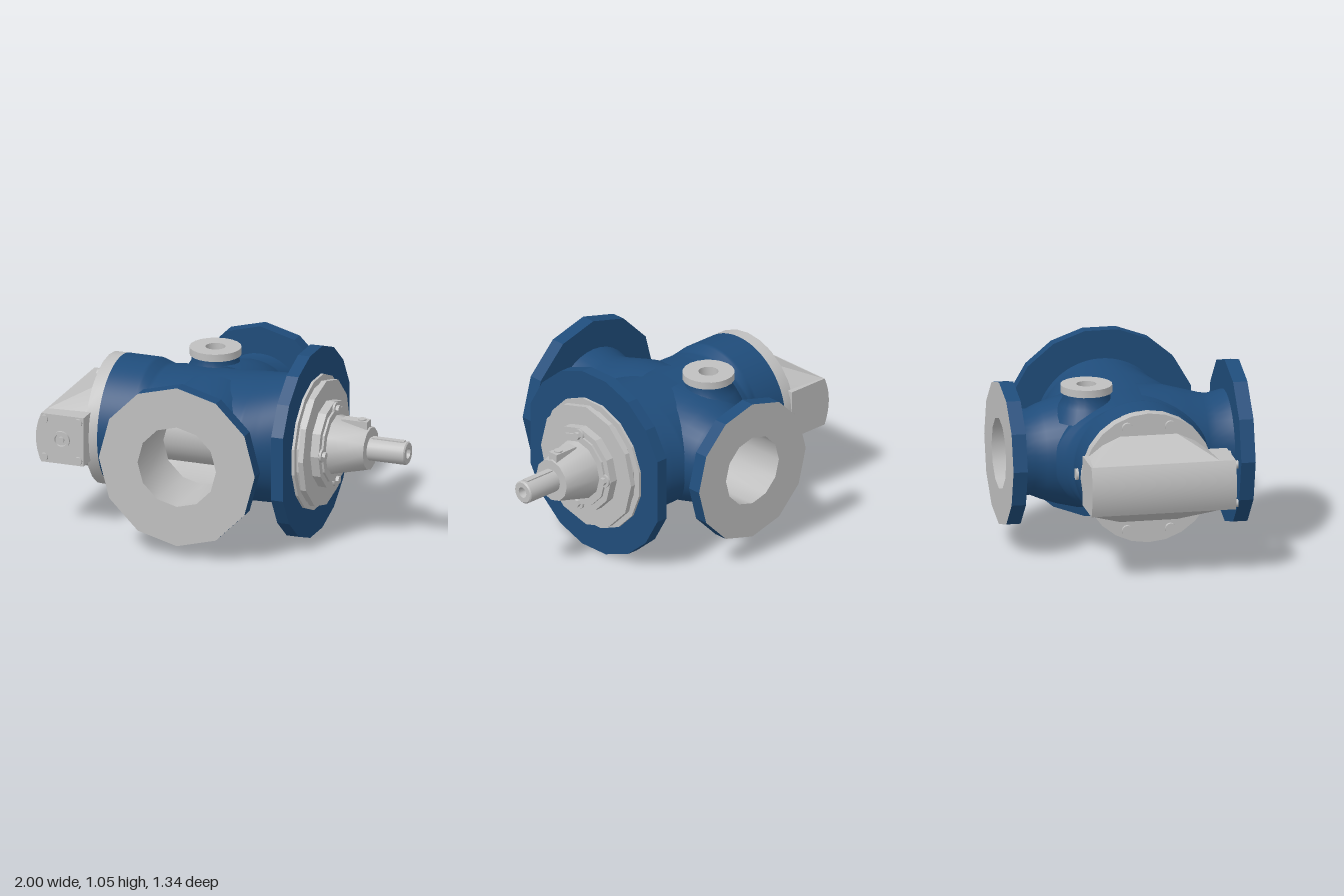
import * as THREE from 'three';
import { toCreasedNormals } from 'three/addons/utils/BufferGeometryUtils.js';
import { ConvexGeometry } from 'three/addons/geometries/ConvexGeometry.js';

const Y = 0.53;       // height of the shaft axis
const PORT_X = -0.098; // centre of the two side ports
const COVER_Z = 0.035;

export function createModel() {
  const root = new THREE.Group();
  root.name = 'pump';
  const blue = new THREE.MeshStandardMaterial({ color: 0x1f4c7a });
  blue.name = 'blue paint';
  const grey = new THREE.MeshStandardMaterial({ color: 0xc0c0c0, side: THREE.DoubleSide });
  grey.name = 'bare metal';
  const inside = new THREE.MeshStandardMaterial({ color: 0xc0c0c0, side: THREE.BackSide });
  inside.name = 'bare metal inside';

  function add(name, geo, mat, x = 0, y = 0, z = 0) {
    const mesh = new THREE.Mesh(geo, mat);
    mesh.name = name;
    mesh.position.set(x, y, z);
    root.add(mesh);
    return mesh;
  }

  // Turned part: profile of [radius, distance along axis]
  function turned(profile, axis, segs, crease = 0.3, spin = 0) {
    const geo = new THREE.LatheGeometry(profile.map(p => new THREE.Vector2(p[0], p[1])), segs, spin);
    if (axis === 'x') geo.rotateZ(-Math.PI / 2);
    if (axis === '-x') geo.rotateZ(Math.PI / 2);
    if (axis === 'z') geo.rotateX(Math.PI / 2);
    if (axis === '-z') geo.rotateX(-Math.PI / 2);
    return toCreasedNormals(geo, crease);
  }
  const disc = (r, a, b) => [[0, a], [r, a], [r, b], [0, b]];

  // Main casing: elliptical sections along x, open where the side ports enter
  // [x, half height, half depth, centre z]
  const sections = [
    [-0.67, 0.365, 0.365, 0.035], [-0.48, 0.365, 0.365, 0.035], [-0.42, 0.328, 0.4, 0.03],
    [-0.36, 0.325, 0.432, 0.015], [-0.1, 0.33, 0.436, 0.015], [0.16, 0.345, 0.436, 0.015],
    [0.25, 0.352, 0.4, 0.006], [0.34, 0.36, 0.363, 0], [0.4, 0.365, 0.365, 0]];
  function sectionAt(x) {
    let i = 0;
    while (i < sections.length - 2 && x > sections[i + 1][0]) i++;
    const a = sections[i], b = sections[i + 1], t = (x - a[0]) / (b[0] - a[0]);
    return a.map((v, k) => v + (b[k] - v) * t);
  }
  const NX = 107, NA = 120, pos = [], idx = [];
  for (let i = 0; i <= NX; i++) {
    const x = -0.67 + 1.07 * i / NX;
    const [, h, d, c] = sectionAt(x);
    for (let j = 0; j < NA; j++) {
      const a = j / NA * Math.PI * 2;
      pos.push(x, h * Math.cos(a), c + d * Math.sin(a));
    }
  }
  for (let i = 0; i < NX; i++) for (let j = 0; j < NA; j++) {
    const a = i * NA + j, b = i * NA + (j + 1) % NA, c = a + NA, d = b + NA;
    const mx = (pos[a * 3] + pos[d * 3]) / 2, my = (pos[a * 3 + 1] + pos[d * 3 + 1]) / 2;
    const hole = pos[a * 3 + 2] > 0 ? 0.245 : 0.215;
    if (Math.hypot(mx - PORT_X, my) < hole) continue;
    idx.push(a, b, c, b, d, c);
  }
  const casing = new THREE.BufferGeometry();
  casing.setAttribute('position', new THREE.Float32BufferAttribute(pos, 3));
  casing.setIndex(idx);
  casing.computeVertexNormals();
  add('casing', casing, blue, 0, Y, 0);
  add('casingInside', casing, inside, 0, Y, 0);

  // Side ports: flared neck, painted flange rim, bare sealing face and bore
  for (const [label, axis, R, r, neck] of [
    ['front', 'z', 0.4575, 0.23,
      [[0.345, 0.1], [0.33, 0.25], [0.3, 0.36], [0.275, 0.45], [0.267, 0.5], [0.287, 0.59]]],
    ['back', '-z', 0.403, 0.2,
      [[0.33, 0.1], [0.318, 0.25], [0.292, 0.36], [0.262, 0.45], [0.236, 0.51], [0.246, 0.59]]]]) {
    add(label + 'PortNeck', turned(neck, axis, 36, 0.7), blue, PORT_X, Y, 0);
    add(label + 'PortFlange', turned([[r, 0.59], [R, 0.59], [R, 0.67]], axis, 12), blue, PORT_X, Y, 0);
    add(label + 'PortFace', turned([[R, 0.67], [r, 0.67], [r, 0.28]], axis, 12, 0.6), grey, PORT_X, Y, 0);
  }
  add('rotor', turned(disc(0.2, -0.6, 0.39), 'x', 24, 0.5), grey, 0, Y, 0);

  // Mounting flange with flattened sides
  const rim = [];
  for (let deg = 10; deg < 370; deg += 20) {
    if (deg === 90 || deg === 270) continue;
    const a = THREE.MathUtils.degToRad(deg);
    rim.push(new THREE.Vector2(0.534 * Math.sin(a), 0.534 * Math.cos(a)));
  }
  const mount = new THREE.ExtrudeGeometry(new THREE.Shape(rim), { depth: 0.07, bevelEnabled: false });
  mount.rotateY(Math.PI / 2);
  add('mountingFlange', mount, blue, 0.39, Y - 0.002, 0);

  // Shaft end cover, hub, seal cone and shaft
  add('coverSpigot', turned([[0.378, 0.455], [0.378, 0.475], [0.34, 0.475], [0.34, 0.5]],
    'x', 16, 0.3, Math.PI / 16), grey, 0, Y, 0);
  add('endCover', turned(disc(0.357, 0.49, 0.52), 'x', 12), grey, 0, Y, 0);
  add('hub', turned([[0.245, 0.515], [0.245, 0.568], [0, 0.568]], 'x', 12), grey, 0, Y, 0);
  add('hubFace', turned([[0.21, 0.565], [0.21, 0.58], [0, 0.58]], 'x', 12), grey, 0, Y, 0);
  add('sealCone', turned([[0.168, 0.58], [0.12, 0.78], [0, 0.78]], 'x', 12, 0.6), grey, 0, Y, 0);
  add('shaft', turned([[0.065, 0.77], [0.065, 0.993], [0.058, 1], [0.03, 1], [0.024, 0.95], [0, 0.95]],
    'x', 24, 0.4), grey, 0, Y, 0);
  add('shaftKey', new THREE.BoxGeometry(0.19, 0.015, 0.035), grey, 0.885, Y + 0.062, 0);
  add('coneRib', new THREE.BoxGeometry(0.15, 0.06, 0.06), grey, 0.695, Y + 0.13, 0);
  add('coneVent', turned(disc(0.024, 0.1, 0.168), 'y', 12, 0.6), grey, 0.73, Y, 0);
  for (let i = 0; i < 4; i++) {
    const a = i * Math.PI / 2, y = Y + 0.205 * Math.cos(a), z = 0.205 * Math.sin(a);
    add('hubBoss', turned(disc(0.037, 0.56, 0.58), 'x', 12, 0.6), grey, 0, y, z);
    add('hubBolt', turned(disc(0.022, 0.575, 0.598), 'x', 6), grey, 0, y, z);
  }

  // Rear cover plate with its ring of bolts
  add('rearCover', turned(disc(0.366, -0.74, -0.67), 'x', 24, 0.4), grey, 0, Y, COVER_Z);
  for (let i = 0; i < 8; i++) {
    const a = (i + 0.5) * Math.PI / 4;
    add('coverBolt', turned(disc(0.03, 0.73, 0.76), '-x', 12, 0.6), grey,
      0, Y + 0.315 * Math.cos(a), COVER_Z + 0.315 * Math.sin(a));
  }

  // Valve housing across the rear cover
  const profile = new THREE.Shape();
  profile.moveTo(-0.72, 0.39);
  profile.lineTo(-0.72, 0.67);
  profile.lineTo(-0.968, 0.67);
  profile.quadraticCurveTo(-1.032, 0.53, -0.968, 0.39);
  profile.closePath();
  add('valveHousing', toCreasedNormals(
    new THREE.ExtrudeGeometry(profile, { depth: 0.805, bevelEnabled: false, curveSegments: 12 }), 0.4),
  grey, 0, 0, -0.33);

  // Sloping shoulders from housing to cover
  const hull = [];
  for (const s of [-1, 1]) {
    for (const z of [-0.32, 0.39]) hull.push(new THREE.Vector3(-0.965, Y + s * 0.139, z));
    for (const z of [-0.12, 0.19]) hull.push(new THREE.Vector3(-0.735, Y + s * 0.245, z));
    for (const z of [-0.22, 0.29]) hull.push(new THREE.Vector3(-0.735, Y + s * 0.2, z));
    for (const z of [-0.3, 0.37]) hull.push(new THREE.Vector3(-0.735, Y + s * 0.139, z));
  }
  add('housingShoulder', toCreasedNormals(new ConvexGeometry(hull), 0.5), grey);

  // End pad of the housing: corner bolts and adjuster
  for (const x of [-0.95, -0.75]) for (const y of [-0.11, 0.11])
    add('padBolt', turned(disc(0.023, 0.47, 0.49), 'z', 12, 0.6), grey, x, Y + y, 0);
  add('adjuster', turned([[0.05, 0.47], [0.05, 0.488], [0.036, 0.488], [0.034, 0.477], [0.018, 0.477],
    [0.018, 0.488], [0, 0.488]], 'z', 20, 0.4), grey, -0.85, Y, 0);

  // Plugs on both sides of the casing
  add('frontPlug', turned(disc(0.033, 0.36, 0.412), 'z', 12, 0.6), grey, -0.59, Y, 0);
  add('backPlug', turned(disc(0.033, 0.29, 0.343), '-z', 12, 0.6), grey, -0.59, Y, 0);

  // Top port on a flared boss
  add('topPortNeck', turned([[0.19, 0.74], [0.15, 0.82], [0.132, 0.85], [0.13, 0.89]], 'y', 24, 0.8),
    blue, -0.21, 0, -0.205);
  add('topPort', turned([[0.055, 0.888], [0.143, 0.888], [0.143, 0.93], [0.055, 0.93], [0.055, 0.84], [0, 0.84]],
    'y', 20, 0.4), grey, -0.21, 0, -0.205);
  return root;
}
